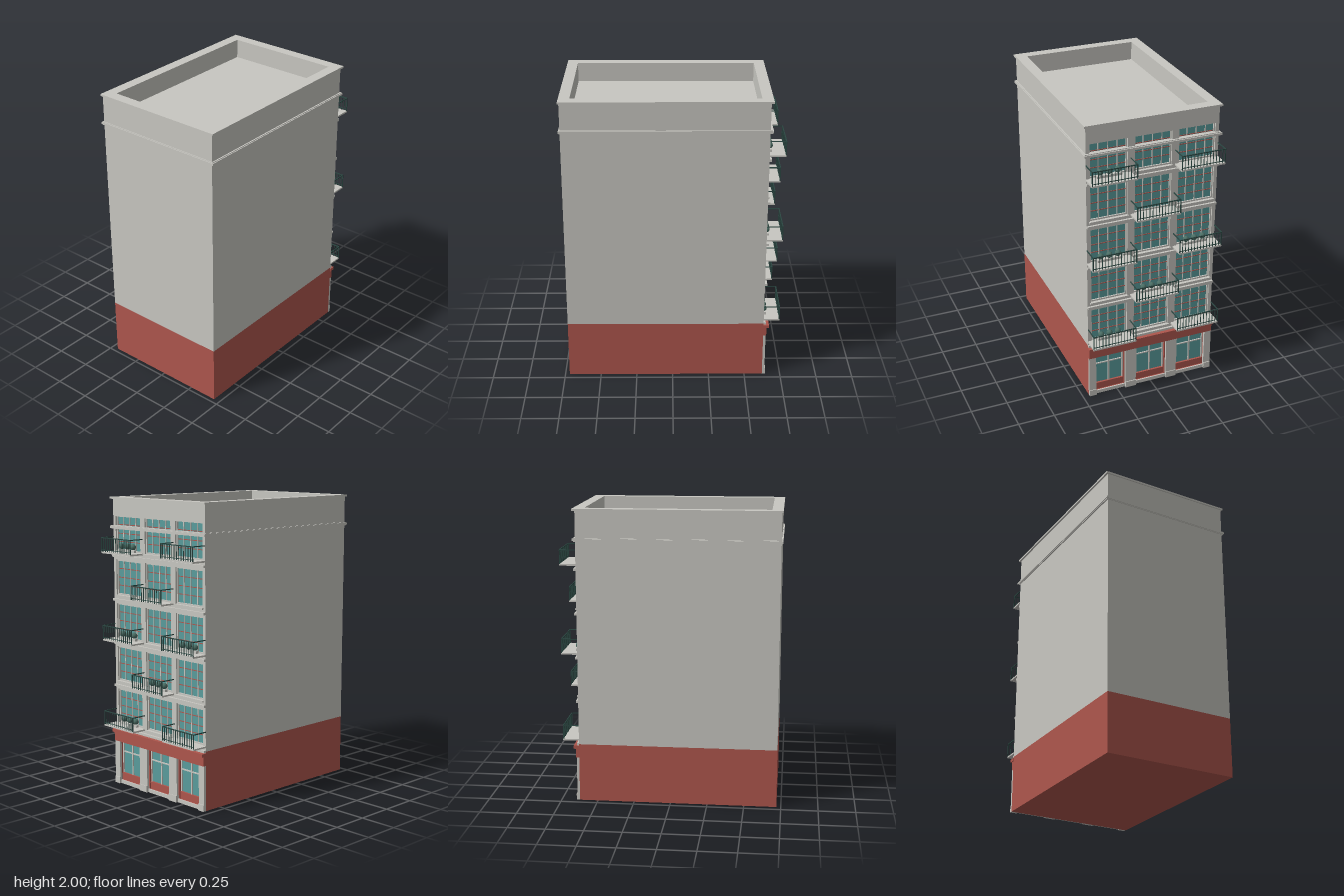
import * as THREE from 'three';

const mat = (name, color, side = THREE.FrontSide) => {
  const m = new THREE.MeshStandardMaterial({ color, side });
  m.name = name;
  return m;
};

export function createModel() {
  const stone = mat('stone', 0xc8c7c1);
  const red = mat('redPaint', 0xae564d);
  const glass = mat('glass', 0x5a9c9d);
  const iron = mat('darkIron', 0x2b4742);
  const leaf = mat('foliage', 0x4c6f66);

  const root = new THREE.Group();
  root.name = 'apartmentBuilding';

  const add = (parent, name, geo, material, x = 0, y = 0, z = 0) => {
    const m = new THREE.Mesh(geo, material);
    m.name = name;
    m.position.set(x, y, z);
    parent.add(m);
    return m;
  };
  // Box given by its min and max on each axis
  const box = (parent, name, material, x0, x1, y0, y1, z0, z1) =>
    add(parent, name, new THREE.BoxGeometry(x1 - x0, y1 - y0, z1 - z0), material,
      (x0 + x1) / 2, (y0 + y1) / 2, (z0 + z1) / 2);
  const group = (name, x = 0, y = 0) => {
    const g = new THREE.Group();
    g.name = name;
    g.position.set(x, y, 0);
    root.add(g);
    return g;
  };
  const rect = (Type, x0, x1, y0, y1) => {
    const s = new Type();
    s.moveTo(x0, y0);
    s.lineTo(x1, y0);
    s.lineTo(x1, y1);
    s.lineTo(x0, y1);
    s.closePath();
    return s;
  };

  const HW = 0.455, FRONT = 0.72, BACK = -0.625, INNER = -0.6;
  const bays = [-0.303, 0, 0.303];
  const floors = [0.4, 0.7, 1.0, 1.3, 1.6];

  // Main masses, stopping at the plane of the glass
  box(root, 'groundFloorBody', red, -HW, HW, 0, 0.4, INNER, FRONT);
  box(root, 'upperBody', stone, -HW, HW, 0.4, 1.87, INNER, FRONT);

  // Flat rings around the roof: parapet and cap
  const ring = (name, hw, zBack, zFront, y0, y1) => {
    const s = rect(THREE.Shape, -hw, hw, -zFront, -zBack);
    s.holes.push(rect(THREE.Path, -0.395, 0.395, -0.655, 0.57));
    const g = new THREE.ExtrudeGeometry(s, { depth: y1 - y0, bevelEnabled: false });
    g.rotateX(-Math.PI / 2);
    add(root, name, g, stone, 0, y0, 0);
  };
  ring('parapet', HW, BACK, FRONT, 1.87, 1.987);
  ring('parapetCap', 0.468, -0.643, 0.728, 1.987, 2.0);

  // Belt moulding with a thinner lip above and below
  box(root, 'beltMoulding', stone, -0.47, 0.47, 1.79, 1.804, -0.645, 0.73);
  box(root, 'beltMouldingLip', stone, -0.464, 0.464, 1.785, 1.809, -0.637, 0.725);

  // Rear walls pierced by the window openings
  const wall = (name, material, y0, y1, holes) => {
    const s = rect(THREE.Shape, -HW, HW, y0, y1);
    holes.forEach(h => s.holes.push(rect(THREE.Path, ...h)));
    const g = new THREE.ExtrudeGeometry(s, { depth: INNER - BACK, bevelEnabled: false });
    add(root, name, g, material, 0, 0, BACK);
  };
  const WW = 0.128, WB = 0.035, WT = 0.275;
  wall('upperRearWall', stone, 0.4, 1.89,
    floors.flatMap(y => bays.map(x => [x - WW, x + WW, y + WB, y + WT])));
  const GW = 0.105, GB = 0.025, GT = 0.295;
  wall('groundRearWall', red, 0, 0.4, bays.map(x => [x - GW, x + GW, GB, GT]));

  // Upper windows: pane, frame, mullions and red glazing bars
  const upperWindow = (x, y) => {
    const g = group('upperWindow', x, y);
    box(g, 'pane', glass, -WW, WW, WB, WT, -0.604, INNER);
    for (const s of [-1, 1])
      box(g, 'frameSide', stone, s * (WW - 0.004) - 0.004, s * (WW - 0.004) + 0.004, WB, WT, -0.614, INNER);
    box(g, 'frameTop', stone, -WW, WW, WT - 0.008, WT, -0.614, INNER);
    box(g, 'frameBottom', stone, -WW, WW, WB, WB + 0.01, -0.614, INNER);
    for (const mx of [-0.064, 0, 0.064])
      box(g, 'mullion', stone, mx - 0.003, mx + 0.003, WB, WT, -0.61, INNER);
    for (const my of [0.1, 0.155, 0.215])
      box(g, 'glazingBar', red, -WW, WW, my - 0.0025, my + 0.0025, -0.608, INNER);
  };

  // Ground floor windows: pane, red stall riser, transom and mullion
  const shopWindow = x => {
    const g = group('groundWindow', x);
    box(g, 'pane', glass, -GW, GW, GB, GT, -0.604, INNER);
    box(g, 'stallRiser', red, -GW, GW, GB, 0.075, -0.618, INNER);
    box(g, 'transom', stone, -GW, GW, 0.225, 0.233, -0.612, INNER);
    for (const mx of [-GW + 0.005, 0, GW - 0.005])
      box(g, 'mullion', stone, mx - 0.005, mx + 0.005, 0.075, GT, -0.612, INNER);
  };

  // Planter with three rounded shrubs
  const planter = (x, y) => {
    const g = group('planter', x, y);
    box(g, 'planterBox', stone, -0.085, 0.085, 0.035, 0.053, -0.645, BACK);
    for (const px of [-0.06, 0, 0.06])
      add(g, 'shrub', new THREE.SphereGeometry(0.021, 10, 7), leaf, px, 0.073, -0.63);
  };

  // Balcony: slab, handrail on three sides, balusters along the outer edge
  const balcony = (x, y) => {
    const g = group('balcony', x, y);
    const h = 0.153, out = -0.733, r = 0.003;
    box(g, 'balconySlab', stone, -h, h, 0.025, 0.036, out, BACK);
    box(g, 'handrail', iron, -h, h, 0.127, 0.133, out, out + 0.006);
    box(g, 'bottomRail', iron, -h, h, 0.046, 0.05, out + 0.001, out + 0.005);
    for (const s of [-1, 1]) {
      const c = s * (h - r);
      box(g, 'sideHandrail', iron, c - r, c + r, 0.127, 0.133, out, BACK);
      box(g, 'cornerPost', iron, c - r, c + r, 0.036, 0.13, out, out + 0.006);
    }
    const n = 14;
    for (let i = 1; i < n; i++) {
      const bx = -h + (2 * h * i) / n;
      box(g, 'baluster', iron, bx - 0.0018, bx + 0.0018, 0.036, 0.13, out + 0.001, out + 0.0046);
    }
  };

  bays.forEach(shopWindow);
  floors.forEach((y, f) => {
    // Sill course under each storey
    box(root, 'sillCourse', stone, -HW, HW, y - 0.008, y + 0.008, -0.64, BACK);
    bays.forEach((x, b) => {
      upperWindow(x, y);
      box(root, 'windowSill', stone, x - WW - 0.006, x + WW + 0.006, y + 0.025, y + WB, -0.636, BACK);
      if ((f + b) % 2 === 0) balcony(x, y);
    });
  });
  [[2, 0], [2, 2], [1, 1], [0, 2], [2, 4]].forEach(([b, f]) => planter(bays[b], floors[f]));
  planter(bays[0], floors[2]);

  // Ground floor pilasters with plinths
  [[-HW, -0.405], [-0.19, -0.113], [0.113, 0.19], [0.405, HW]].forEach(([a, b]) => {
    box(root, 'pilaster', stone, a, b, 0, 0.305, -0.642, BACK);
    box(root, 'pilasterPlinth', stone, a, b, 0, 0.045, -0.648, BACK);
  });
  box(root, 'thresholdCourse', stone, -HW, HW, 0, GB, -0.634, BACK);

  // Red fascia and cornice above the ground floor
  box(root, 'fascia', red, -HW, HW, 0.305, 0.37, -0.646, BACK);
  box(root, 'groundCornice', red, -0.46, 0.46, 0.368, 0.39, -0.662, BACK);

  return root;
}
